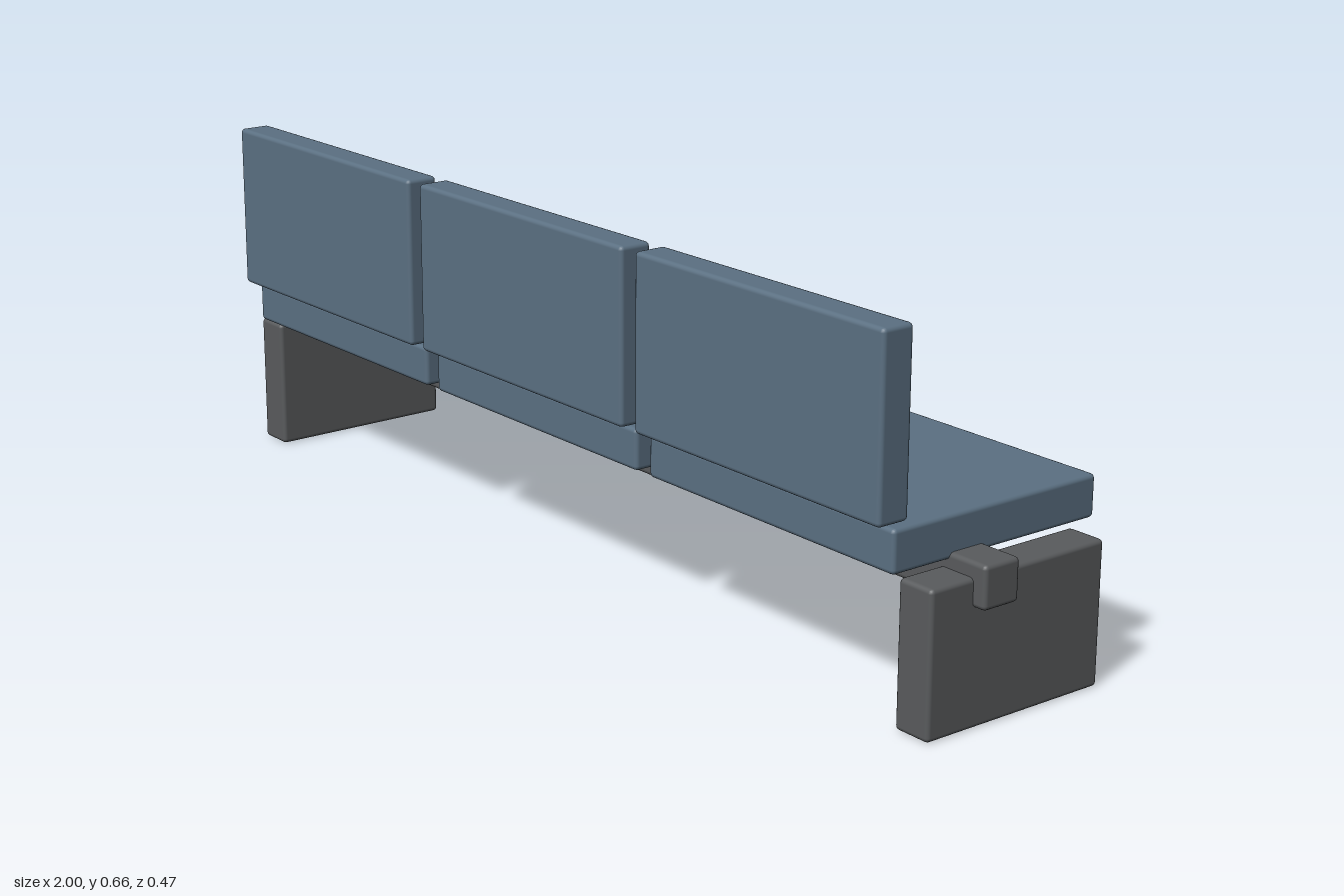
import * as THREE from 'three';
import { RoundedBoxGeometry } from 'three/addons/geometries/RoundedBoxGeometry.js';

const upholstery = new THREE.MeshStandardMaterial({ color: 0x5b7082 });
upholstery.name = 'blue upholstery';
const metal = new THREE.MeshStandardMaterial({ color: 0x595b5d });
metal.name = 'dark grey metal';

// Softly rounded block given by its extents on each axis
function block(name, material, [x0, x1], [y0, y1], [z0, z1]) {
  const geometry = new RoundedBoxGeometry(x1 - x0, y1 - y0, z1 - z0, 2, 0.008);
  const mesh = new THREE.Mesh(geometry, material);
  mesh.name = name;
  mesh.position.set((x0 + x1) / 2, (y0 + y1) / 2, (z0 + z1) / 2);
  return mesh;
}

export function createModel() {
  const bench = new THREE.Group();
  bench.name = 'bench';

  // Long beam carrying the seats, passing through both legs
  bench.add(block('beam', metal, [-1, 1], [0.202, 0.276], [0.011, 0.085]));

  // Slab legs
  bench.add(block('leftLeg', metal, [0.902, 0.975], [0, 0.25], [-0.202, 0.172]));
  bench.add(block('rightLeg', metal, [-0.975, -0.902], [0, 0.25], [-0.202, 0.172]));

  // Three places, each with a seat cushion and a backrest along the +z edge
  ['right', 'middle', 'left'].forEach((side, i) => {
    const x = (i - 1) * 0.626;
    const width = [x - 0.296, x + 0.296];
    bench.add(block(side + 'Seat', upholstery, width, [0.264, 0.338], [-0.234, 0.203]));
    bench.add(block(side + 'Backrest', upholstery, width, [0.346, 0.656], [0.173, 0.235]));
  });

  return bench;
}
